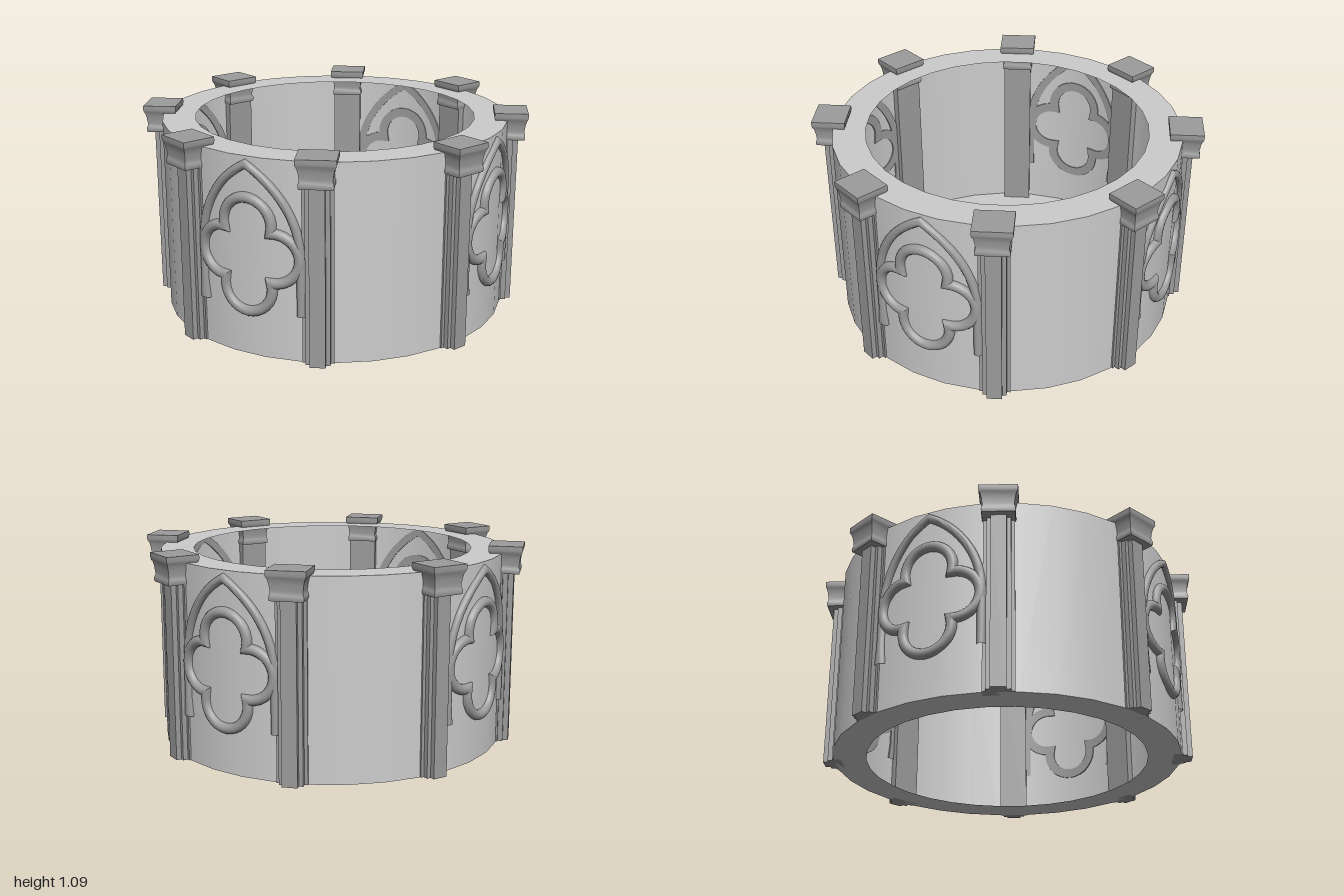
import * as THREE from 'three';
import { toCreasedNormals } from 'three/addons/utils/BufferGeometryUtils.js';

const R = 0.94, INNER = 0.762, H = 1.05, SEG = 32;

const wallMat = new THREE.MeshStandardMaterial({ color: 0xcccccc, side: THREE.DoubleSide });
wallMat.name = 'paleStone';
const trimMat = new THREE.MeshStandardMaterial({ color: 0x9c9c9c, side: THREE.DoubleSide });
trimMat.name = 'greyStone';

function part(name, geometry, material, parent) {
  const mesh = new THREE.Mesh(geometry, material);
  mesh.name = name;
  parent.add(mesh);
  return mesh;
}

// Sweeps a half-round moulding with a flat back along a flat path, wrapped around the drum
function moulding(path, closed, w) {
  const n = path.length, S = 9, pos = [], idx = [];
  path.forEach((p, i) => {
    const prev = closed ? path[(i + n - 1) % n] : path[Math.max(i - 1, 0)];
    const next = closed ? path[(i + 1) % n] : path[Math.min(i + 1, n - 1)];
    const d1 = p.clone().sub(prev).normalize(), d2 = next.clone().sub(p).normalize();
    const t = d1.clone().add(d2).normalize();
    const mitre = 1 / Math.max(t.dot(d2), 0.65);
    for (let k = 0; k < S + 2; k++) {
      const a = (Math.min(Math.max(k - 1, 0), S - 1) / (S - 1)) * Math.PI;
      const s = w * Math.cos(a) * mitre;
      const h = k === 0 || k === S + 1 ? -0.01 : w * Math.sin(a);
      const x = p.x + t.y * s, y = p.y - t.x * s, ang = Math.asin(x / R);
      pos.push((R + h) * Math.sin(ang), y, (R + h) * Math.cos(ang));
    }
  });
  const K = S + 2;
  for (let i = 0; i < (closed ? n : n - 1); i++) {
    const j = (i + 1) % n;
    for (let k = 0; k < K; k++) {
      const l = (k + 1) % K;
      idx.push(i * K + k, j * K + k, i * K + l, j * K + k, j * K + l, i * K + l);
    }
  }
  const g = new THREE.BufferGeometry();
  g.setAttribute('position', new THREE.Float32BufferAttribute(pos, 3));
  g.setIndex(idx);
  return toCreasedNormals(g, 0.9);
}

// Four-lobed outline: the lobes meet in inward cusps
function quatrefoilPath() {
  const pts = [], cusp = 0.13, steps = 18;
  for (let j = 0; j < 4; j++) {
    const [c, r] = j % 2 ? [0.165, 0.135] : [0.144, 0.131];
    const half = Math.atan2(cusp, cusp - c), dir = j * Math.PI / 2;
    for (let i = 0; i < steps; i++) {
      const a = dir - half + (2 * half * i) / steps;
      pts.push(new THREE.Vector2(
        c * Math.cos(dir) + r * Math.cos(a),
        0.54 + c * Math.sin(dir) + r * Math.sin(a)));
    }
  }
  return pts;
}

// Pointed arch with straight legs
function archPath() {
  const d = 0.238, r = 0.518, spring = 0.55, top = Math.acos(d / r), right = [];
  for (let y = 0.25; y < spring - 0.01; y += 0.1) right.push(new THREE.Vector2(r - d, y));
  for (let i = 0; i <= 16; i++) {
    const a = (top * i) / 16;
    right.push(new THREE.Vector2(r * Math.cos(a) - d, spring + r * Math.sin(a)));
  }
  const left = right.slice(0, -1).reverse().map(p => new THREE.Vector2(-p.x, p.y));
  return [...right, ...left];
}

// Stepped pier plan, pulled up from the ground
function shaftGeometry() {
  const half = [[0.08, 0.895], [0.08, 0.945], [0.062, 0.945], [0.062, 0.972], [0.04, 0.972], [0.04, 1.0]];
  const outline = [...half, ...half.slice().reverse().map(([x, r]) => [-x, r])];
  const shape = new THREE.Shape(outline.map(([x, r]) => new THREE.Vector2(x, -r)));
  return new THREE.ExtrudeGeometry(shape, { depth: 0.96, bevelEnabled: false }).rotateX(-Math.PI / 2);
}

// Square moulded capital
function capitalGeometry() {
  const profile = [
    [0, 0.94], [0.84, 0.94], [0.87, 0.95], [0.86, 0.965], [0.81, 0.975], [0.81, 0.99],
    [0.85, 1.02], [0.91, 1.045], [0.97, 1.055], [1, 1.065], [1, 1.09], [0, 1.09],
  ].map(([s, y]) => new THREE.Vector2(s * Math.SQRT2, y));
  const g = new THREE.LatheGeometry(profile, 4, Math.PI / 4).scale(0.1, 1, 0.09).translate(0, 0, 0.956);
  return toCreasedNormals(g, 0.6);
}

export function createModel() {
  const model = new THREE.Group();
  model.name = 'roundTracery';

  // Drum wall with flat rims
  const drum = new THREE.Group();
  drum.name = 'drum';
  drum.rotation.y = Math.PI / SEG;
  model.add(drum);
  part('outerWall', new THREE.CylinderGeometry(R, R, H, SEG, 1, true).translate(0, H / 2, 0), wallMat, drum);
  const rim = () => new THREE.RingGeometry(INNER, R, SEG);
  part('topRim', rim().rotateX(-Math.PI / 2).translate(0, H, 0), wallMat, drum);
  part('bottomRim', rim().rotateX(Math.PI / 2), wallMat, drum);

  // Tracery on the four main sides
  const foil = moulding(quatrefoilPath(), true, 0.027);
  const arch = moulding(archPath(), false, 0.022);
  for (let i = 0; i < 4; i++) {
    const tracery = new THREE.Group();
    tracery.name = 'tracery';
    tracery.rotation.y = i * Math.PI / 2;
    part('quatrefoil', foil, trimMat, tracery);
    part('pointedArch', arch, trimMat, tracery);
    model.add(tracery);
  }

  // Eight piers between the bays
  const shaft = shaftGeometry(), capital = capitalGeometry();
  for (let i = 0; i < 8; i++) {
    const pier = new THREE.Group();
    pier.name = 'pier';
    pier.rotation.y = (i + 0.5) * Math.PI / 4;
    part('shaft', shaft, trimMat, pier);
    part('capital', capital, trimMat, pier);
    model.add(pier);
  }
  return model;
}
